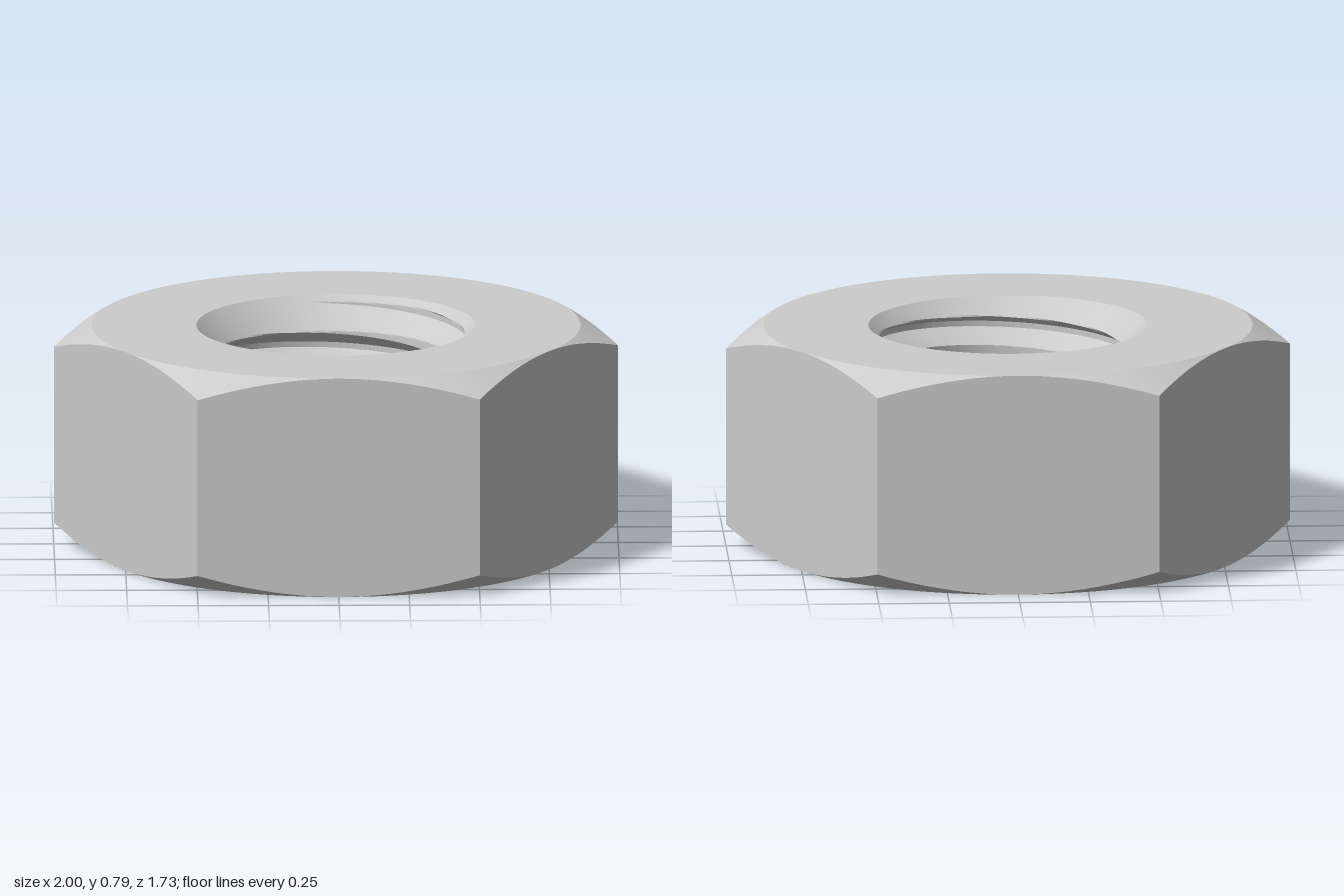
import * as THREE from 'three';
import { toCreasedNormals } from 'three/addons/utils/BufferGeometryUtils.js';

const HEIGHT = 0.793, APOTHEM = 0.866, SEGMENTS = 120;
const RIM = 0.495, MINOR = 0.385, PITCH = 0.16, DEPTH = 0.087;
const clamp = THREE.MathUtils.clamp;

// Surface swept around y; profile(row, angle) gives [radius, y]
function sweep(firstRow, lastRow, profile) {
  const point = (row, col) => {
    const angle = (col / SEGMENTS) * Math.PI * 2;
    const [r, y] = profile(row, angle);
    return new THREE.Vector3(r * Math.cos(angle), y, -r * Math.sin(angle));
  };
  const positions = [];
  const tri = new THREE.Triangle();
  const addTriangle = (a, b, c) => {
    tri.set(a, b, c);
    if (tri.getArea() < 1e-8) return; // collapsed where rows meet
    for (const p of [a, b, c]) positions.push(p.x, p.y, p.z);
  };
  for (let row = firstRow; row < lastRow; row++) {
    for (let col = 0; col < SEGMENTS; col++) {
      const a = point(row, col), b = point(row + 1, col);
      const c = point(row + 1, col + 1), d = point(row, col + 1);
      addTriangle(a, b, c);
      addTriangle(a, c, d);
    }
  }
  const geometry = new THREE.BufferGeometry();
  geometry.setAttribute('position', new THREE.Float32BufferAttribute(positions, 3));
  return toCreasedNormals(geometry, 0.35);
}

// Hexagon with 30 degree conical chamfers above and below
function bodyProfile(row, angle) {
  const sector = Math.PI / 3;
  const offset = (angle + 1e-9) % sector - sector / 2;
  const hex = APOTHEM / Math.cos(offset);
  const drop = (hex - APOTHEM) * Math.tan(Math.PI / 6);
  return [
    [RIM, HEIGHT], [APOTHEM, HEIGHT], [hex, HEIGHT - drop],
    [hex, drop], [APOTHEM, 0], [RIM, 0],
  ][row];
}

// Right-hand thread: rows follow the helix, countersinks cut both ends
const ROWS_PER_TURN = 32;
function boreProfile(row, angle) {
  const f = row / ROWS_PER_TURN;
  const turn = (angle + Math.PI / 2) / (Math.PI * 2);
  const y = clamp(0.694 + PITCH * (turn + f), 0, HEIGHT);
  const rise = 0.694 + PITCH * turn;
  const phase = (y - rise) / PITCH;
  const fromRoot = Math.abs(phase - Math.round(phase));
  const thread = MINOR + DEPTH * clamp((0.375 - fromRoot) / 0.3125, 0, 1);
  return [Math.max(thread, RIM - y, RIM - (HEIGHT - y)), y];
}

export function createModel() {
  const group = new THREE.Group();
  group.name = 'hexNut';
  const material = new THREE.MeshStandardMaterial({ color: 0xcccccc });

  const body = new THREE.Mesh(sweep(0, 5, bodyProfile), material);
  body.name = 'hexBody';

  const bore = new THREE.Mesh(sweep(-6 * ROWS_PER_TURN, ROWS_PER_TURN / 2, boreProfile), material);
  bore.name = 'threadedBore';

  group.add(body, bore);
  return group;
}
